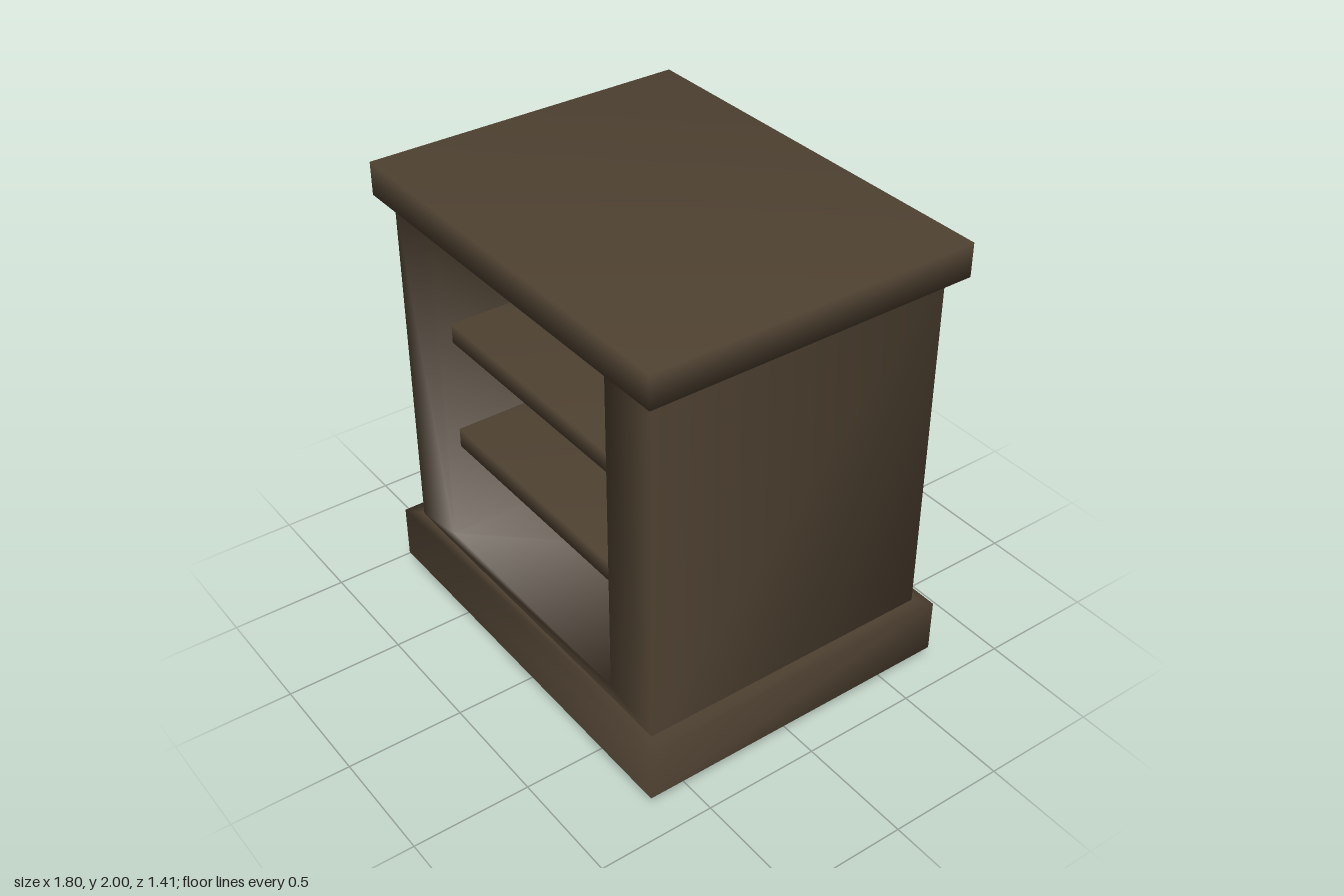
import * as THREE from 'three';
import { mergeVertices } from 'three/addons/utils/BufferGeometryUtils.js';

const wood = new THREE.MeshStandardMaterial({ color: 0x4e4131, side: THREE.DoubleSide });
wood.name = 'dark wood';

// Box with normals shared across its edges, for the soft shading
function softBox(name, x0, x1, y0, y1, z0, z1) {
  const box = new THREE.BoxGeometry(x1 - x0, y1 - y0, z1 - z0);
  box.translate((x0 + x1) / 2, (y0 + y1) / 2, (z0 + z1) / 2);
  box.deleteAttribute('normal');
  box.deleteAttribute('uv');
  const g = mergeVertices(box);
  g.computeVertexNormals();
  const mesh = new THREE.Mesh(g, wood);
  mesh.name = name;
  return mesh;
}

// Horizontal four-corner loop, counter-clockwise from above
const ring = (x, y, z) => [[-x, y, z], [x, y, z], [x, y, -z], [-x, y, -z]];
// Upright four-corner loop, counter-clockwise from the front
const frame = (x, y0, y1, z) => [[-x, y0, z], [x, y0, z], [x, y1, z], [-x, y1, z]];

// Surface from shared corner points and lists of four-sided faces
function shell(name, points, quads) {
  const g = new THREE.BufferGeometry();
  g.setAttribute('position', new THREE.Float32BufferAttribute(points.flat(), 3));
  g.setIndex(quads.flatMap(([a, b, c, d]) => [a, b, c, a, c, d]));
  g.computeVertexNormals();
  const mesh = new THREE.Mesh(g, wood);
  mesh.name = name;
  return mesh;
}

// Faces joining two loops of four point numbers
const strip = (a, b) => a.map((p, i) => [p, a[(i + 1) % 4], b[(i + 1) % 4], b[i]]);

export function createModel() {
  const group = new THREE.Group();
  group.name = 'cabinet';

  // Hollow plinth, open below, with a ledge up to the body
  group.add(shell('plinth',
    [...ring(0.9, 0.095, 0.705), ...ring(0.9, 0.33, 0.705), ...ring(0.83, 0.33, 0.652)],
    [...strip([0, 1, 2, 3], [4, 5, 6, 7]), ...strip([4, 5, 6, 7], [8, 9, 10, 11])]));

  // Body walls, front frame and the recessed compartment
  const opening = [8, 9, 10, 11], back = [12, 13, 14, 15];
  group.add(shell('body',
    [...ring(0.83, 0.33, 0.652), ...ring(0.83, 1.86, 0.652),
      ...frame(0.57, 0.39, 1.8, 0.652), ...frame(0.57, 0.39, 1.8, -0.59)],
    [...strip([0, 1, 2, 3], [4, 5, 6, 7]).slice(1),
      ...strip([0, 1, 5, 4], opening), ...strip(opening, back), back]));

  // Overhanging top
  group.add(softBox('top', -0.9, 0.9, 1.86, 2, -0.705, 0.705));

  // Shelves, set slightly back from the frame
  for (const [name, y] of [['lowerShelf', 0.815], ['upperShelf', 1.315]]) {
    group.add(softBox(name, -0.57, 0.57, y, y + 0.085, -0.59, 0.59));
  }

  // Square feet reaching a little way into the plinth
  for (const [side, x] of [['right', -0.8], ['left', 0.62]]) {
    for (const [end, z] of [['Front', 0.41], ['Back', -0.59]]) {
      group.add(softBox(side + end + 'Foot', x, x + 0.19, 0, 0.17, z, z + 0.213));
    }
  }
  return group;
}
